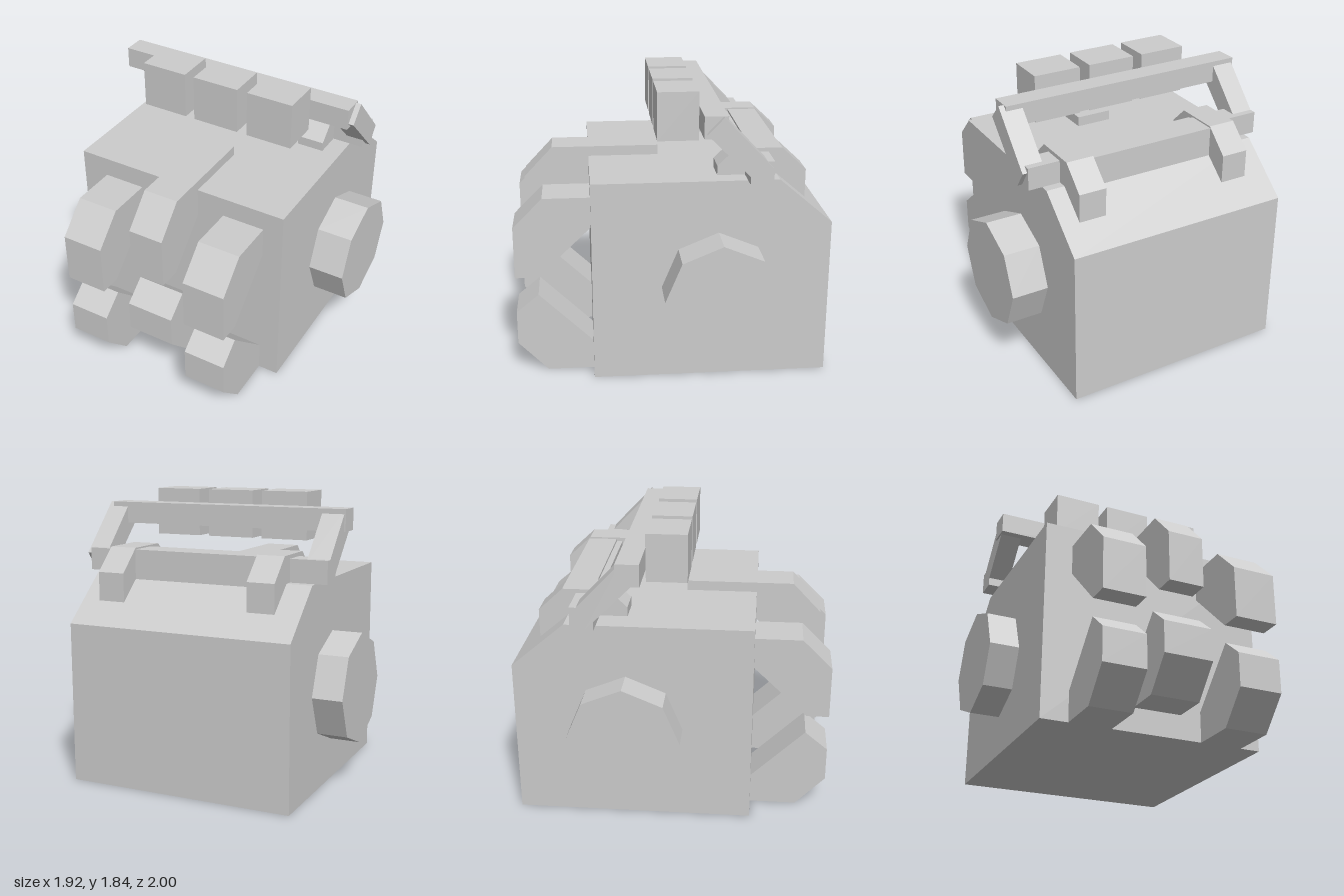
import * as THREE from 'three';

export function createModel() {
  const model = new THREE.Group();
  model.name = 'model';
  const grey = new THREE.MeshStandardMaterial({ color: 0xcccccc });
  grey.name = 'plain grey';

  const add = (name, geometry) => {
    const mesh = new THREE.Mesh(geometry, grey);
    mesh.name = name;
    model.add(mesh);
    return mesh;
  };
  // Side profile of [z, y] points, extruded from x0 to x1
  const slab = (name, x0, x1, points) => {
    const shape = new THREE.Shape(points.map(([z, y]) => new THREE.Vector2(-z, y)));
    const g = new THREE.ExtrudeGeometry(shape, { depth: x1 - x0, bevelEnabled: false });
    return add(name, g.rotateY(Math.PI / 2).translate(x0, 0, 0));
  };
  // Box given by its limits
  const box = (name, x0, x1, y0, y1, z0, z1) =>
    add(name, new THREE.BoxGeometry(x1 - x0, y1 - y0, z1 - z0)
      .translate((x0 + x1) / 2, (y0 + y1) / 2, (z0 + z1) / 2));

  // Main body with a sloped rear top edge
  slab('body', -0.77, 0.72, [[0.51, 0], [0.51, 1.32], [-0.66, 1.32], [-1, 1.03], [-1, 0]]);

  // Octagonal side hubs
  for (const [name, x0, x1] of [['rightHub', -0.965, -0.77], ['leftHub', 0.72, 0.96]]) {
    const points = [];
    for (let i = 0; i < 8; i++) {
      const a = (i * Math.PI) / 4;
      points.push([-0.285 + 0.357 * Math.cos(a), 0.625 + 0.357 * Math.sin(a)]);
    }
    slab(name, x0, x1, points);
  }

  // Outer claws, upper and lower
  for (const [side, x0, x1] of [['right', -0.59, -0.31], ['left', 0.3, 0.585]]) {
    slab(side + 'UpperClaw', x0, x1,
      [[0.51, 1.19], [0.81, 1.19], [1, 1], [1, 0.66], [0.855, 0.66], [0.51, 0.99]]);
    slab(side + 'LowerClaw', x0, x1,
      [[0.51, 0.2], [0.855, 0.54], [1, 0.42], [1, 0.2], [0.81, 0], [0.51, 0]]);
  }

  // Middle claws; the upper one runs back over the roof
  slab('middleUpperClaw', -0.12, 0.115,
    [[0.05, 1.385], [0.75, 1.385], [0.935, 1.19], [0.935, 0.85], [0.79, 0.85],
      [0.51, 1.13], [0.51, 1.32], [0.05, 1.32]]);
  slab('middleLowerClaw', -0.165, 0.16,
    [[0.51, 0.42], [0.79, 0.69], [0.935, 0.57], [0.935, 0.36], [0.75, 0.16], [0.51, 0.16]]);

  // Roof brackets and the rails joining them
  for (const [name, x0, x1] of [['rightBracket', -0.605, -0.425], ['leftBracket', 0.42, 0.6]]) {
    slab(name, x0, x1,
      [[-0.285, 1.32], [-0.285, 1.38], [-0.4, 1.49], [-0.69, 1.49], [-0.845, 1.345],
        [-0.845, 1.16], [-0.66, 1.32]]);
  }
  box('bracketRail', -0.425, 0.42, 1.29, 1.48, -0.695, -0.5);
  box('hingeRail', -0.845, 0.81, 1.32, 1.465, -0.605, -0.46);

  // Sloped arms carrying the lamp bar
  for (const [name, x0, x1] of [['rightArm', -0.845, -0.7], ['leftArm', 0.695, 0.84]]) {
    slab(name, x0, x1, [[-0.19, 1.645], [-0.29, 1.75], [-0.595, 1.43], [-0.515, 1.32]]);
  }
  box('lampBar', -0.855, 0.805, 1.61, 1.75, -0.32, -0.175);

  // Lamps
  for (const [x0, x1] of [[-0.545, -0.23], [-0.165, 0.155], [0.225, 0.54]]) {
    box('lamp', x0, x1, 1.53, 1.84, -0.175, 0.085);
  }
  return model;
}
